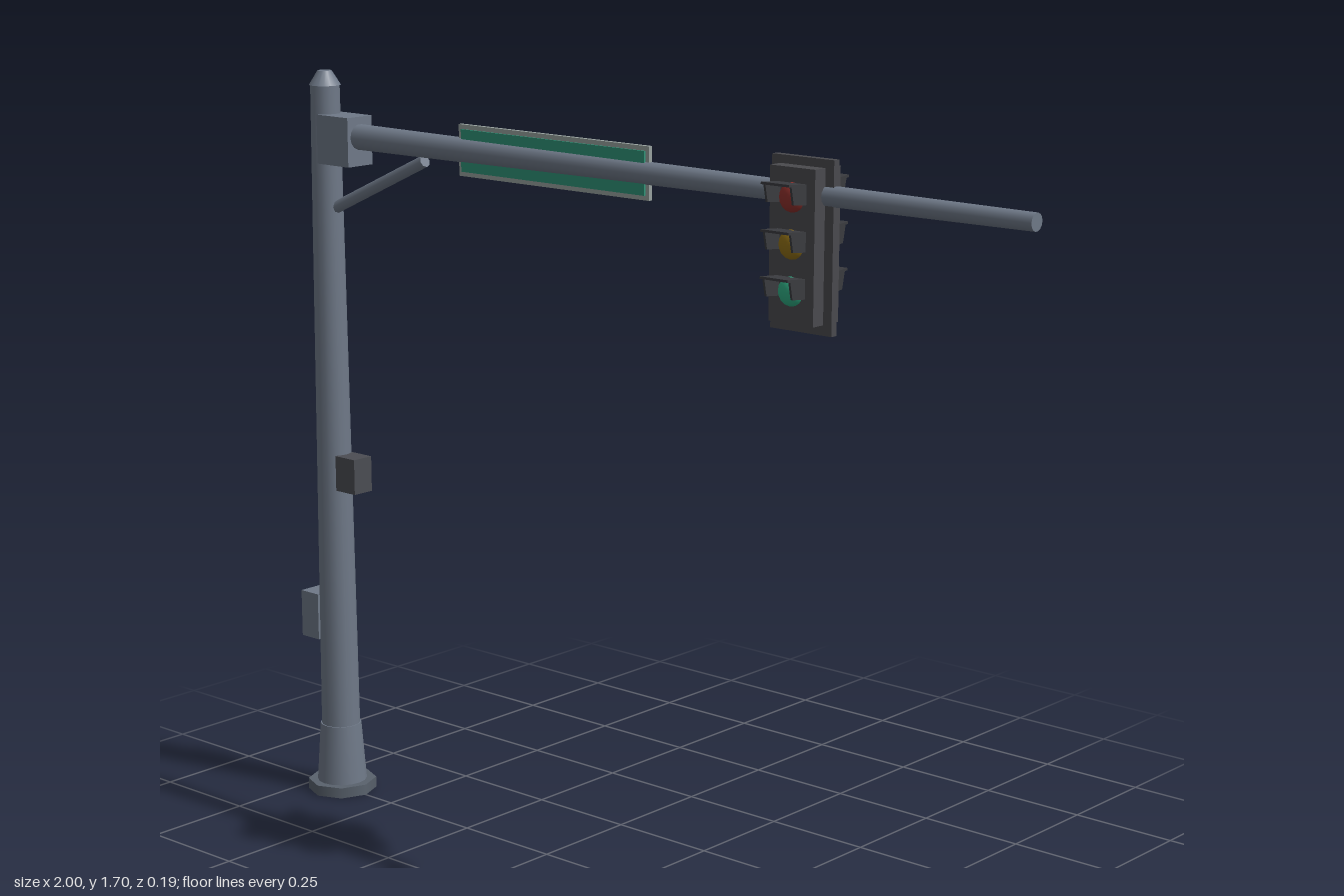
import * as THREE from 'three';

const mat = (name, color) => {
  const m = new THREE.MeshStandardMaterial({ color });
  m.name = name;
  return m;
};

export function createModel() {
  const steel = mat('steel grey', 0x6f7988);
  const footSteel = mat('dark steel', 0x59626d);
  const boxGrey = mat('button box grey', 0x4b4d53);
  const housingGrey = mat('signal housing grey', 0x4a4a4e);
  const visorGrey = mat('visor charcoal', 0x3a3b3f);
  const frameGrey = mat('sign frame grey', 0x98a29f);
  const signGreen = mat('sign green', 0x2f9478);
  const red = mat('red lens', 0x8f302c);
  const amber = mat('amber lens', 0x917016);
  const green = mat('green lens', 0x2fae84);

  const model = new THREE.Group();
  model.name = 'trafficSignalPole';
  const add = (parent, name, geo, material, x = 0, y = 0, z = 0) => {
    const mesh = new THREE.Mesh(geo, material);
    mesh.name = name;
    mesh.position.set(x, y, z);
    parent.add(mesh);
    return mesh;
  };
  const box = (parent, name, material, w, h, d, x, y, z) =>
    add(parent, name, new THREE.BoxGeometry(w, h, d), material, x, y, z);

  // Upright pole with foot and cap
  const px = -0.915;
  add(model, 'basePlate', new THREE.CylinderGeometry(0.08, 0.08, 0.025, 8).toNonIndexed(), footSteel, px, 0.0125);
  add(model, 'baseFlare', new THREE.CylinderGeometry(0.048, 0.058, 0.14, 16), steel, px, 0.095);
  add(model, 'pole', new THREE.CylinderGeometry(0.033, 0.045, 1.51, 16), steel, px, 0.915);
  add(model, 'poleCap', new THREE.CylinderGeometry(0.016, 0.036, 0.032, 16), steel, px, 1.684);

  // Boxes fixed to the pole
  box(model, 'controlBox', steel, 0.056, 0.11, 0.074, -0.972, 0.425, 0);
  box(model, 'buttonBox', boxGrey, 0.062, 0.082, 0.054, -0.851, 0.78, 0);

  // Tapered mast arm, its bracket and brace
  box(model, 'armBracket', steel, 0.1, 0.11, 0.074, -0.855, 1.55, 0);
  const rod = (name, a, b, r0, r1, sides) => {
    const from = new THREE.Vector3(...a), dir = new THREE.Vector3(...b).sub(from);
    const mesh = add(model, name, new THREE.CylinderGeometry(r1, r0, dir.length(), sides), steel);
    mesh.position.copy(from).addScaledVector(dir, 0.5);
    mesh.quaternion.setFromUnitVectors(new THREE.Vector3(0, 1, 0), dir.normalize());
  };
  rod('mastArm', [-0.86, 1.56, 0], [1, 1.56, 0], 0.029, 0.018, 14);
  rod('brace', [-0.9, 1.388, 0], [-0.6, 1.525, 0], 0.014, 0.014, 8);

  // Street sign, green on both sides
  box(model, 'signFrame', frameGrey, 0.545, 0.112, 0.01, -0.217, 1.56, 0);
  for (const s of [1, -1]) box(model, 'signFace', signGreen, 0.525, 0.092, 0.004, -0.217, 1.56, s * 0.007);

  // Signal head
  const head = new THREE.Group();
  head.name = 'signalHead';
  head.position.x = 0.457;
  model.add(head);
  box(head, 'backplate', housingGrey, 0.154, 0.348, 0.016, 0, 1.458, 0);
  box(head, 'housing', housingGrey, 0.112, 0.31, 0.08, 0, 1.46, 0);

  // Lens: shallow dome facing +z
  const lensGeo = new THREE.SphereGeometry(0.03, 16, 6, 0, Math.PI * 2, 0, Math.PI / 2)
    .rotateX(Math.PI / 2).scale(1, 1, 0.6);
  // Visor cheek: side profile drawn with x along the depth
  const cheek = new THREE.Shape([[0, -0.012], [0.04, -0.008], [0.048, 0.029], [0, 0.024]]
    .map(p => new THREE.Vector2(...p)));
  const cheekGeo = new THREE.ExtrudeGeometry(cheek, { depth: 0.005, bevelEnabled: false })
    .rotateY(-Math.PI / 2).translate(0.0025, 0, 0);
  const hoodGeo = new THREE.BoxGeometry(0.07, 0.005, 0.056).translate(0, 0, 0.028).rotateX(-0.09);

  for (const turn of [0, Math.PI]) {
    const side = new THREE.Group();
    side.name = turn ? 'rearLights' : 'frontLights';
    side.rotation.y = turn;
    head.add(side);
    [red, amber, green].forEach((lens, i) => {
      const y = 1.556 - i * 0.093;
      add(side, 'lens', lensGeo, lens, 0, y, 0.04);
      add(side, 'visorHood', hoodGeo, visorGrey, 0, y + 0.026, 0.039);
      for (const s of [1, -1]) add(side, 'visorCheek', cheekGeo, visorGrey, s * 0.0325, y, 0.039);
    });
  }
  return model;
}
